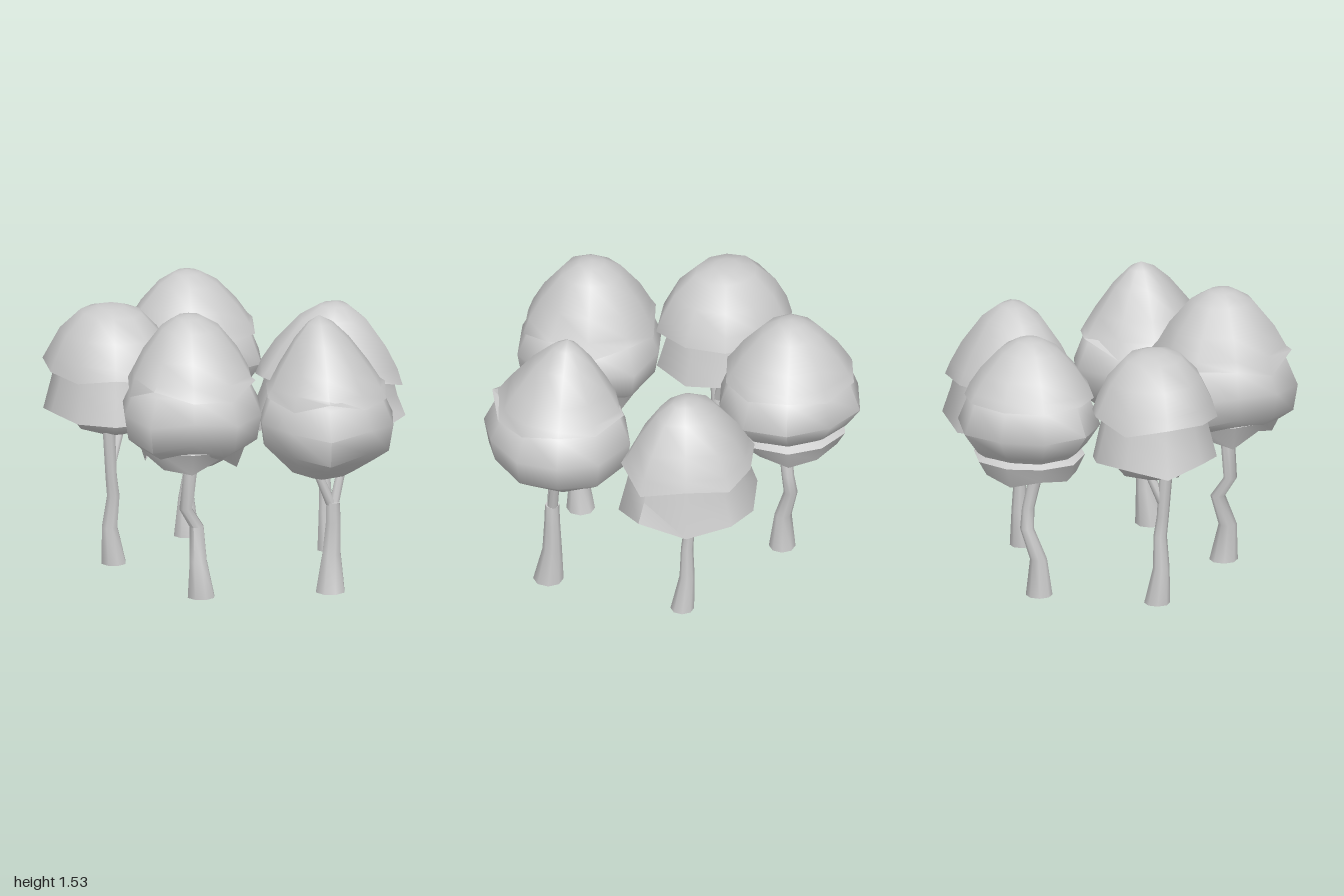
import * as THREE from 'three';
import { toCreasedNormals } from 'three/addons/utils/BufferGeometryUtils.js';

const material = new THREE.MeshStandardMaterial({ color: 0xcccccc, side: THREE.DoubleSide });

// Skin a stack of closed rings, ordered from top to bottom
function loft(name, rings) {
  const n = rings[0].length, index = [];
  const same = (p, q) => p.distanceTo(q) < 1e-6;
  for (let i = 0; i < rings.length - 1; i++) {
    for (let j = 0; j < n; j++) {
      const k = (j + 1) % n;
      const a = i * n + j, b = i * n + k, c = a + n, d = b + n;
      if (!same(rings[i][j], rings[i][k])) index.push(a, b, c);
      if (!same(rings[i + 1][j], rings[i + 1][k])) index.push(b, d, c);
    }
  }
  const geometry = new THREE.BufferGeometry().setFromPoints(rings.flat());
  geometry.setIndex(index);
  const mesh = new THREE.Mesh(toCreasedNormals(geometry, 1.1), material);
  mesh.name = name;
  return mesh;
}

// Foliage profiles: [outline scale, drop, raggedness]
// Drop runs from 0 at the dome's hem to 1 at the crown's bottom
const under = {
  lobe: [[0.6, -0.1], [0.84, 0], [1, 0.3, 0.02], [0.94, 0.59, 0.03], [0.74, 0.72, 0.02], [0.46, 0.9], [0.2, 0.98], [0, 1]],
  taperedLobe: [[0.6, -0.1], [0.84, 0], [1, 0.33, 0.02], [0.8, 0.56, 0.02], [0.5, 0.74, 0.02], [0.2, 0.96], [0, 1]],
  skirt: [[0.6, 0.6], [0.78, 0.68], [0.66, 0.88, 0.05]],
  flap: [[0.78, -0.15], [0.87, 0.22], [0.99, 0.63, 0.05], [0.78, 0.48]],
  core: [[0.78, 0.2], [0.74, 0.62], [0.5, 0.85, 0.02], [0.2, 0.97], [0, 1]],
};

// Dome: height falls off as a power of the radius, ending in a ragged hem and lip
function domeProfile({ top, hem, bottom, power, width }) {
  const rise = (top - hem) / (hem - bottom);
  const rows = [0, 0.2, 0.45, 0.75, 0.92, 1].map((s) =>
    [s * width, (s ** power - 1) * rise, s === 1 ? 0.045 : 0]);
  return [...rows, [width * 0.83, -0.07]];
}

// Each layer scales the crown's outline, given as radii in even steps from +x towards +z
function foliage(name, { centre, lean, radii, hem, bottom }, profile, seed) {
  const rings = profile.map(([s, drop, rag = 0]) => radii.map((radius, j) => {
    const a = j / radii.length * Math.PI * 2;
    const wave = Math.sin(j * 2.4 + seed) * 0.6 + Math.sin(j * 4.1 + seed * 2) * 0.4;
    return new THREE.Vector3(
      centre[0] + lean[0] * (1 - s) + radius * s * Math.cos(a),
      hem + (bottom - hem) * drop + rag * wave,
      centre[1] + lean[1] * (1 - s) + radius * s * Math.sin(a));
  }));
  return loft(name + 'Foliage', rings);
}

// Trunk or branch: nodes [x, y, z, radius] from the ground up, closed at both ends
function limb(name, nodes) {
  const ring = ([x, y, z, r]) => Array.from({ length: 8 }, (_, j) => {
    const a = j / 8 * Math.PI * 2;
    return new THREE.Vector3(x + r * Math.cos(a), y, z + r * Math.sin(a));
  });
  const cap = (node) => [...node.slice(0, 3), 0];
  return loft(name, [cap(nodes[0]), ...nodes, cap(nodes[nodes.length - 1])].reverse().map(ring));
}

// Flared, bending trunk; forks [dx, dz, start offset in y] leave it at half height
function addTrunk(group, { foot: [x, z], thick, bends, forks }, bottom) {
  const heights = [0, 0.2, 0.37, 0.48, bottom + 0.07];
  const flare = [1, 0.64, 0.52, 0.47, 0.52];
  const nodes = [[0, 0], ...bends].map(([dx, dz], i) => [x + dx, heights[i], z + dz, thick * flare[i]]);
  group.add(limb('trunk', nodes));
  const [sx, sy, sz] = nodes[3];
  for (const [dx, dz, rise] of forks) {
    const start = sy + rise;
    const at = (t, r) => [sx + dx * t, start + (bottom + 0.11 - start) * t, sz + dz * t, r];
    group.add(limb('branch', [at(0, 0.028), at(0.45, 0.026), at(1, 0.024)]));
  }
}

const crowns = [
  { // back, on the right side
    centre: [-0.58, -0.28], lean: [0, 0],
    radii: [0.34, 0.36, 0.385, 0.345, 0.335, 0.345, 0.375, 0.36, 0.35, 0.325],
    top: 1.4, hem: 1.07, bottom: 0.7, power: 3, width: 1, layers: ['flap', 'core'],
  },
  { // back, centre
    centre: [-0.01, -0.61], lean: [-0.01, -0.02],
    radii: [0.39, 0.39, 0.375, 0.37, 0.365, 0.39, 0.375, 0.385, 0.4, 0.385],
    top: 1.435, hem: 1.12, bottom: 0.64, power: 2, width: 0.91, layers: ['taperedLobe', 'skirt'],
  },
  { // left side
    centre: [0.555, -0.09], lean: [0.05, 0.01],
    radii: [0.36, 0.43, 0.38, 0.32, 0.33, 0.385, 0.41, 0.39, 0.37, 0.405],
    top: 1.345, hem: 0.95, bottom: 0.575, power: 2, width: 0.95, layers: ['flap', 'core'],
  },
  { // front, on the right side
    centre: [-0.425, 0.44], lean: [0, -0.02],
    radii: [0.385, 0.385, 0.39, 0.365, 0.385, 0.37, 0.365, 0.4, 0.39, 0.415],
    top: 1.53, hem: 1.16, bottom: 0.7, power: 2.2, width: 0.92, layers: ['lobe', 'skirt'],
  },
  { // front, on the left side
    centre: [0.285, 0.59], lean: [-0.025, -0.05],
    radii: [0.37, 0.36, 0.37, 0.41, 0.34, 0.365, 0.36, 0.37, 0.4, 0.37],
    top: 1.485, hem: 1.07, bottom: 0.6, power: 1.5, width: 0.9, layers: ['lobe'],
  },
];

// In the same order as the crowns
const trunks = [
  { foot: [-0.58, -0.255], thick: 0.068, forks: [[0.1, -0.06, 0.07]],
    bends: [[-0.025, 0.005], [-0.008, 0.015], [-0.022, 0.02], [-0.04, 0.03]] },
  { foot: [-0.04, -0.58], thick: 0.07, forks: [],
    bends: [[0, -0.005], [0.045, -0.045], [0.05, -0.03], [0, -0.01]] },
  { foot: [0.555, -0.065], thick: 0.062, forks: [],
    bends: [[-0.005, -0.025], [-0.01, -0.025], [-0.01, -0.035], [-0.01, -0.04]] },
  { foot: [-0.38, 0.48], thick: 0.075, forks: [],
    bends: [[-0.02, 0.01], [-0.005, -0.05], [-0.075, -0.03], [-0.04, -0.02]] },
  { foot: [0.285, 0.64], thick: 0.08, forks: [[-0.11, -0.01, -0.04], [0.07, -0.02, -0.04]],
    bends: [[0.015, -0.02], [0.025, -0.02], [0.023, -0.02]] },
];

export function createModel() {
  const model = new THREE.Group();
  model.name = 'treeGrove';
  crowns.forEach((crown, i) => {
    const group = new THREE.Group();
    group.name = 'tree' + (i + 1);
    group.add(foliage('dome', crown, domeProfile(crown), i * 1.7));
    crown.layers.forEach((name, k) => {
      group.add(foliage(name, crown, under[name], i * 1.7 + k * 2.3 + 2));
    });
    addTrunk(group, trunks[i], crown.bottom);
    model.add(group);
  });
  return model;
}
